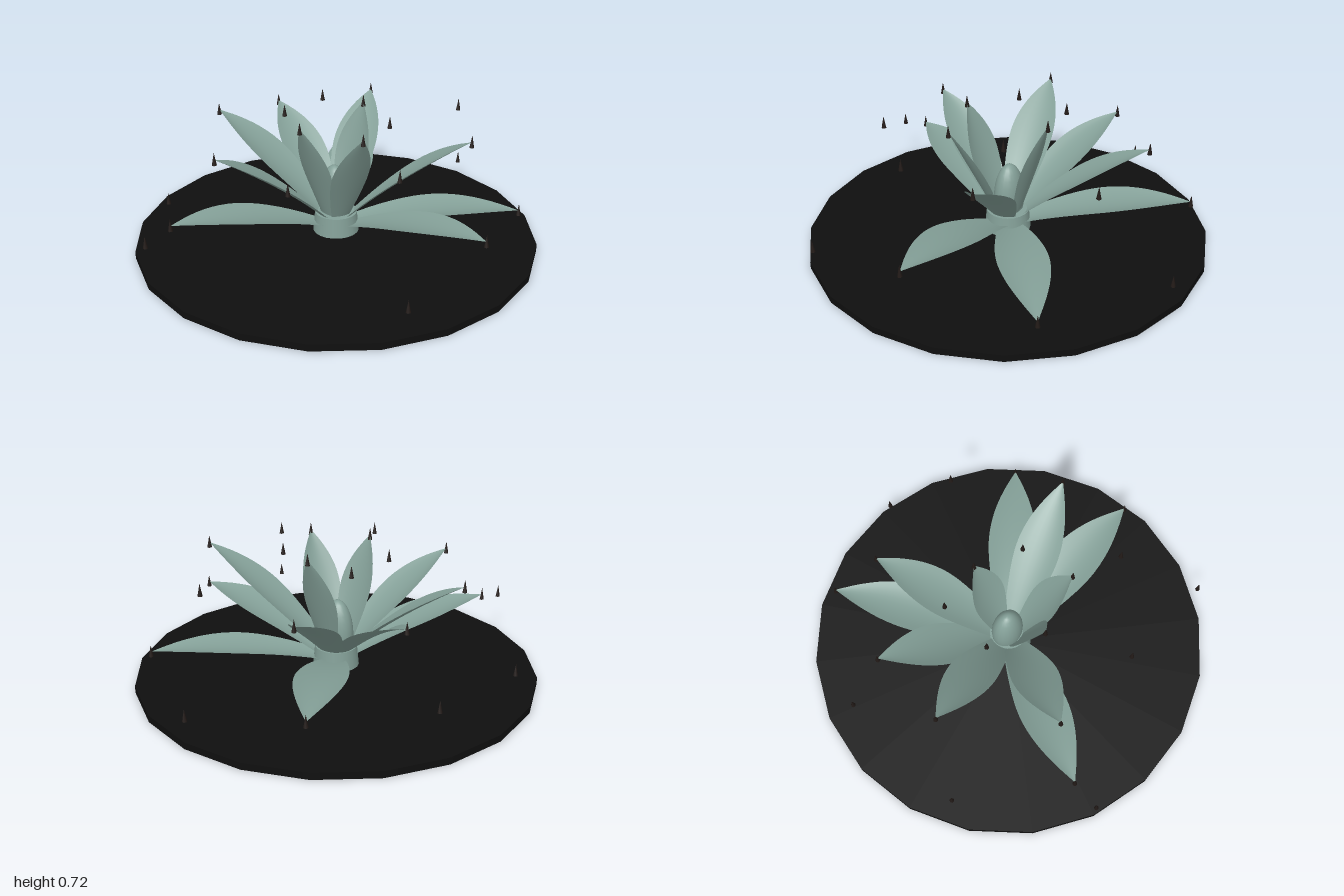
import * as THREE from 'three';

const leafMat = new THREE.MeshStandardMaterial({ color: 0x84a098, side: THREE.DoubleSide });
leafMat.name = 'sage green';
const soilMat = new THREE.MeshStandardMaterial({ color: 0x0f0f0f });
soilMat.name = 'black soil';
const thornMat = new THREE.MeshStandardMaterial({ color: 0x221a17 });
thornMat.name = 'dark brown';

// leaf tips [x, y, z], grouped in tiers from the ground up
const tiers = [
  { name: 'lowerLeaf', width: 0.245, baseY: 0.1, lift: 0.048, tips: [
    [0.06, 0.285, 0.87], [0.65, 0.145, 0.65], [0.75, 0.225, -0.51], [-0.8, 0.275, -0.31]] },
  { name: 'middleLeaf', width: 0.22, baseY: 0.13, lift: 0.04, tips: [
    [0.27, 0.63, 0.61], [-0.19, 0.59, -0.63], [0.23, 0.52, -0.63],
    [-0.59, 0.57, -0.22], [0.61, 0.56, -0.31]] },
  { name: 'upperLeaf', width: 0.19, baseY: 0.13, lift: 0.02, tips: [
    [-0.13, 0.67, 0.29], [-0.25, 0.68, 0], [0.22, 0.68, -0.02]] },
];

// loose thorns scattered around the plant
const looseThorns = [
  [0.14, 0.66, 0.22], [0.17, 0.67, -0.25], [-0.11, 0.67, -0.24], [0.67, 0.6, 0.23],
  [-0.58, 0.57, 0.25], [-0.19, 0.6, 0.56], [-0.95, 0.25, -0.31], [-0.49, 0.2, 0.87],
  [-0.435, 0.125, -0.78], [0.965, 0.145, 0.03], [0.235, 0.21, -0.83],
];

// half-width along the leaf, from base to point
const outline = new THREE.SplineCurve([
  [0, 0.42], [0.2, 0.74], [0.4, 0.97], [0.55, 1], [0.7, 0.83], [0.85, 0.48], [1, 0],
].map(([t, w]) => new THREE.Vector2(t, w)));

// a cupped blade bent along an arc from the stem to its tip
function leafGeometry(tip, { width, baseY, lift }) {
  const end = new THREE.Vector3(...tip);
  const dir = new THREE.Vector3(end.x, 0, end.z).normalize();
  const side = new THREE.Vector3(-dir.z, 0, dir.x);
  const start = dir.clone().multiplyScalar(0.05).setY(baseY);
  const control = start.clone().add(end).multiplyScalar(0.5);
  control.y += 2 * lift;
  const spine = new THREE.QuadraticBezierCurve3(start, control, end);
  const geo = new THREE.PlaneGeometry(1, 1, 8, 18);
  const pos = geo.attributes.position;
  for (let i = 0; i < pos.count; i++) {
    const u = pos.getX(i) * 2;
    const mark = outline.getPoint(pos.getY(i) + 0.5);
    const t = THREE.MathUtils.clamp(mark.x, 0, 1);
    const half = Math.max(mark.y, 0) * width / 2;
    const up = side.clone().cross(spine.getTangent(t));
    const p = spine.getPoint(t)
      .addScaledVector(side, u * half)
      .addScaledVector(up, (u * u - 0.4) * half * 0.2);
    pos.setXYZ(i, p.x, p.y, p.z);
  }
  geo.computeVertexNormals();
  return geo;
}

export function createModel() {
  const model = new THREE.Group();
  model.name = 'agave';
  const add = (name, geo, mat, x = 0, y = 0, z = 0) => {
    const mesh = new THREE.Mesh(geo, mat);
    mesh.name = name;
    mesh.position.set(x, y, z);
    model.add(mesh);
    return mesh;
  };

  // ground disc, stem and central bud
  add('groundDisc', new THREE.CylinderGeometry(1, 1, 0.035, 20), soilMat, 0, 0.0175);
  add('stem', new THREE.CylinderGeometry(0.105, 0.115, 0.1, 20), leafMat, 0, 0.115);
  add('bud', new THREE.SphereGeometry(1, 20, 14), leafMat, 0, 0.23, -0.01)
    .scale.set(0.07, 0.18, 0.085);

  // leaves, each with a thorn at its tip
  const thornGeo = new THREE.ConeGeometry(0.012, 0.062, 6);
  for (const tier of tiers) {
    for (const tip of tier.tips) {
      add(tier.name, leafGeometry(tip, tier), leafMat);
      add('tipThorn', thornGeo, thornMat, tip[0], tip[1] + 0.005, tip[2]);
    }
  }
  for (const p of looseThorns) add('looseThorn', thornGeo, thornMat, ...p);

  return model;
}
